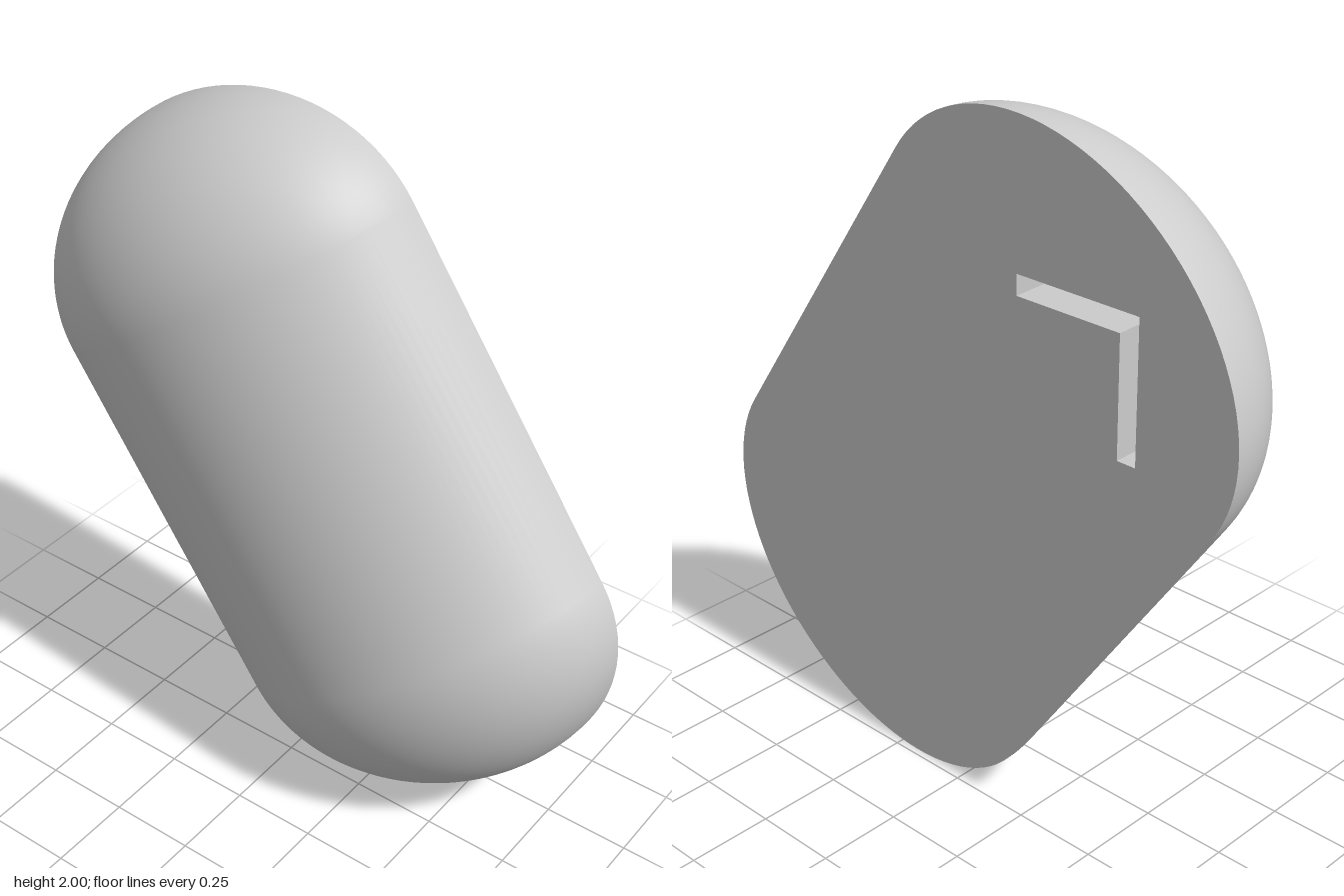
import * as THREE from 'three';

const TILT = THREE.MathUtils.degToRad(35);
const FACE_X = 0.23;       // plane of the flat face
const DEPTH = 0.46;        // how far the dome bulges behind the face
const HALF_RUN = 0.555;    // half length of the straight middle
const END = 0.495;         // length of each rounded end
const HALF_WIDTH = 0.64;

// From the pill's own axes (x, along, across) to tilted world axes
const tilt = (x, u, v) => new THREE.Vector3(x, u, v).applyAxisAngle(new THREE.Vector3(1, 0, 0), -TILT);

// Angles round the rim: one half ellipse per end, joined by straight sides
const STEPS = 48;
const rim = [];
for (const side of [1, -1]) {
  for (let i = 0; i <= STEPS; i++) {
    const a = (i / STEPS - 0.5) * Math.PI + (side < 0 ? Math.PI : 0);
    rim.push({ side, c: Math.cos(a), s: Math.sin(a) });
  }
}
const rimPoint = ({ side, c, s }, x, scale) =>
  tilt(x, side * HALF_RUN + END * c * scale, HALF_WIDTH * s * scale).add(new THREE.Vector3(0, 1, 0));

function domeGeometry() {
  const rings = 32, n = rim.length;
  const positions = [], normals = [], index = [];
  for (let i = 0; i <= rings; i++) {
    const phi = (i / rings) * Math.PI / 2;
    const r = Math.sin(phi), h = Math.cos(phi);
    for (const p of rim) {
      positions.push(...rimPoint(p, FACE_X - DEPTH * h, r));
      normals.push(...tilt(-h / DEPTH, p.c * r / END, p.s * r / HALF_WIDTH).normalize());
    }
  }
  for (let i = 0; i < rings; i++) {
    for (let j = 0; j < n; j++) {
      const a = i * n + j, b = i * n + (j + 1) % n;
      index.push(a, b, b + n, a, b + n, a + n);
    }
  }
  const g = new THREE.BufferGeometry();
  g.setAttribute('position', new THREE.Float32BufferAttribute(positions, 3));
  g.setAttribute('normal', new THREE.Float32BufferAttribute(normals, 3));
  g.setIndex(index);
  return g;
}

// Corner-shaped groove outline in (-z, y), clockwise; inset narrows it
const grooveOutline = (d) => [
  [0.215 + d, 1.594 - d], [0.608 - d, 1.594 - d], [0.608 - d, 1.2 + d],
  [0.55 + d, 1.2 + d], [0.55 + d, 1.536 + d], [0.215 + d, 1.536 + d],
].map(([w, y]) => new THREE.Vector2(w, y));

// Flat plate facing +x from a shape drawn in (-z, y)
const plate = (shape, x) => new THREE.ShapeGeometry(shape).rotateY(Math.PI / 2).translate(x, 0, 0);

function grooveWalls(top, floor, floorX) {
  const positions = [];
  const add = (p, x) => positions.push(x, p.y, -p.x);
  top.forEach((a, i) => {
    const k = (i + 1) % top.length;
    add(a, FACE_X); add(floor[i], floorX); add(floor[k], floorX);
    add(a, FACE_X); add(floor[k], floorX); add(top[k], FACE_X);
  });
  const g = new THREE.BufferGeometry();
  g.setAttribute('position', new THREE.Float32BufferAttribute(positions, 3));
  g.computeVertexNormals();
  return g;
}

export function createModel() {
  const group = new THREE.Group();
  const grey = new THREE.MeshStandardMaterial({ color: 0xcccccc });
  grey.name = 'light grey';
  const add = (name, geometry) => {
    const mesh = new THREE.Mesh(geometry, grey);
    mesh.name = name;
    group.add(mesh);
  };

  // Rounded body
  add('domedBody', domeGeometry());

  // Flat face with the groove cut out
  const top = grooveOutline(0), floor = grooveOutline(0.01);
  const face = new THREE.Shape(rim.map((p) => {
    const q = rimPoint(p, FACE_X, 1);
    return new THREE.Vector2(-q.z, q.y);
  }));
  face.holes.push(new THREE.Path(top));
  add('flatFace', plate(face, FACE_X));

  // Groove
  const floorX = FACE_X - 0.12;
  add('grooveWalls', grooveWalls(top, floor, floorX));
  add('grooveFloor', plate(new THREE.Shape(floor), floorX));

  return group;
}
